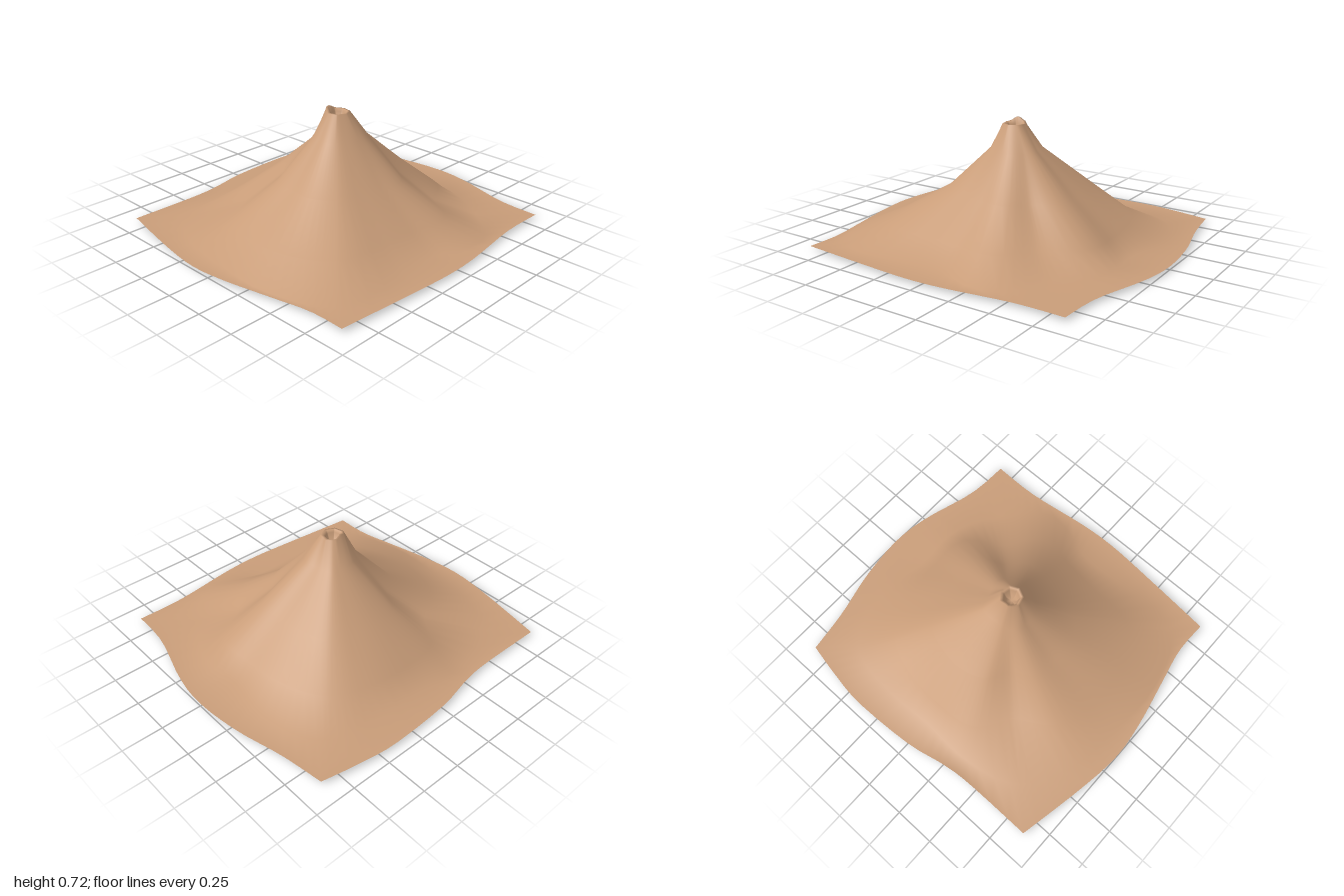
import * as THREE from 'three';

// Distance from the axis at four contour heights, every 22.5 degrees from +x towards +z
const LEVELS = [0.55, 0.31, 0.12, 0.02];
const CONTOURS = [
  [0.17, 0.36, 0.60, 0.75],
  [0.16, 0.36, 0.62, 0.82],
  [0.16, 0.40, 0.75, 1.03], // front left ridge
  [0.16, 0.41, 0.74, 0.97],
  [0.15, 0.37, 0.70, 0.89],
  [0.15, 0.38, 0.66, 0.91], // front right ridge
  [0.14, 0.32, 0.56, 0.93], // gully
  [0.12, 0.38, 0.64, 0.82],
  [0.12, 0.41, 0.63, 0.75],
  [0.13, 0.43, 0.66, 0.82],
  [0.15, 0.46, 0.71, 0.95], // back right shoulder
  [0.14, 0.42, 0.67, 0.86],
  [0.14, 0.41, 0.65, 0.76],
  [0.17, 0.45, 0.69, 0.82], // back ridge
  [0.18, 0.37, 0.59, 0.85], // gully
  [0.18, 0.40, 0.67, 0.90], // left ridge
];

// The four wavy sides of the ground sheet, as [x, z], in turn from +x towards +z
const SIDES = [
  [[0.87, -0.85], [0.87, -0.55], [0.92, -0.15], [0.93, 0.1], [0.91, 0.4], [0.87, 0.87]],
  [[0.87, 0.87], [0.65, 0.87], [0.4, 0.92], [0.1, 0.98], [-0.15, 1], [-0.45, 0.96], [-0.85, 0.88]],
  [[-0.85, 0.88], [-0.85, 0.45], [-0.87, 0.25], [-0.92, 0], [-0.94, -0.4], [-0.91, -0.65], [-0.87, -0.86]],
  [[-0.87, -0.86], [-0.6, -0.9], [-0.3, -0.97], [0, -1], [0.25, -0.97], [0.6, -0.87], [0.87, -0.85]],
];

// Smooth closed interpolation of a contour around the axis
function contourRadius(level, angle) {
  const n = CONTOURS.length;
  const t = ((angle / (2 * Math.PI)) * n + 2 * n) % n;
  const i = Math.floor(t), f = t - i;
  const [a, b, c, d] = [-1, 0, 1, 2].map((k) => CONTOURS[(i + k + n) % n][level]);
  return b + 0.5 * f * (c - a + f * (2 * a - 5 * b + 4 * c - d + f * (3 * (b - c) + d - a)));
}

// One cross-section from the crater floor out to the edge of the sheet
function spoke(edge) {
  const angle = Math.atan2(edge.y, edge.x);
  const c = Math.cos(angle), s = Math.sin(angle);
  // Seven-sided crater rim with one raised lip
  const facet = (2 * Math.PI) / 7;
  const polygon = 0.96 / Math.cos(((angle + 2 * Math.PI) % facet) - facet / 2);
  const bump = 0.025 * Math.max(0, Math.cos(angle - 2.9)) ** 6;
  const points = [[0, 0.64], [0.03, 0.645], [0.045, 0.685], [0.054, 0.70 + bump], [0.067, 0.70 + bump]]
    .map(([r, y]) => [0.015 + r * polygon * c, y, 0.01 + r * polygon * s]);
  LEVELS.forEach((y, level) => {
    const r = contourRadius(level, angle);
    points.push([r * c, y, r * s]);
  });
  // Shallow hollow where the gully meets the ground
  const foot = points[points.length - 1];
  foot[1] -= 0.02 * Math.exp(-(((angle - 2.75) / 0.25) ** 2));
  points.push([edge.x, 0.02, edge.y]);
  return points;
}

export function createModel() {
  const group = new THREE.Group();
  group.name = 'volcano';

  const edges = SIDES.flatMap((side) =>
    new THREE.SplineCurve(side.map(([x, z]) => new THREE.Vector2(x, z))).getPoints(20).slice(0, -1));
  const spokes = edges.map(spoke);
  const rings = spokes[0].length;
  const index = [];
  for (let j = 0; j < spokes.length; j++) {
    const k = (j + 1) % spokes.length;
    for (let i = 0; i < rings - 1; i++) {
      const a = j * rings + i, b = k * rings + i;
      if (i > 0) index.push(a, b, a + 1);
      index.push(b, b + 1, a + 1);
    }
  }
  const geometry = new THREE.BufferGeometry();
  geometry.setAttribute('position', new THREE.Float32BufferAttribute(spokes.flat(2), 3));
  geometry.setIndex(index);
  geometry.computeVertexNormals();
  // The centre of the crater floor faces straight up
  for (let j = 0; j < spokes.length; j++) geometry.attributes.normal.setXYZ(j * rings, 0, 1, 0);

  const mountain = new THREE.Mesh(geometry, new THREE.MeshStandardMaterial({
    color: 0xc99d79, side: THREE.DoubleSide,
  }));
  mountain.name = 'mountain';
  group.add(mountain);
  return group;
}
